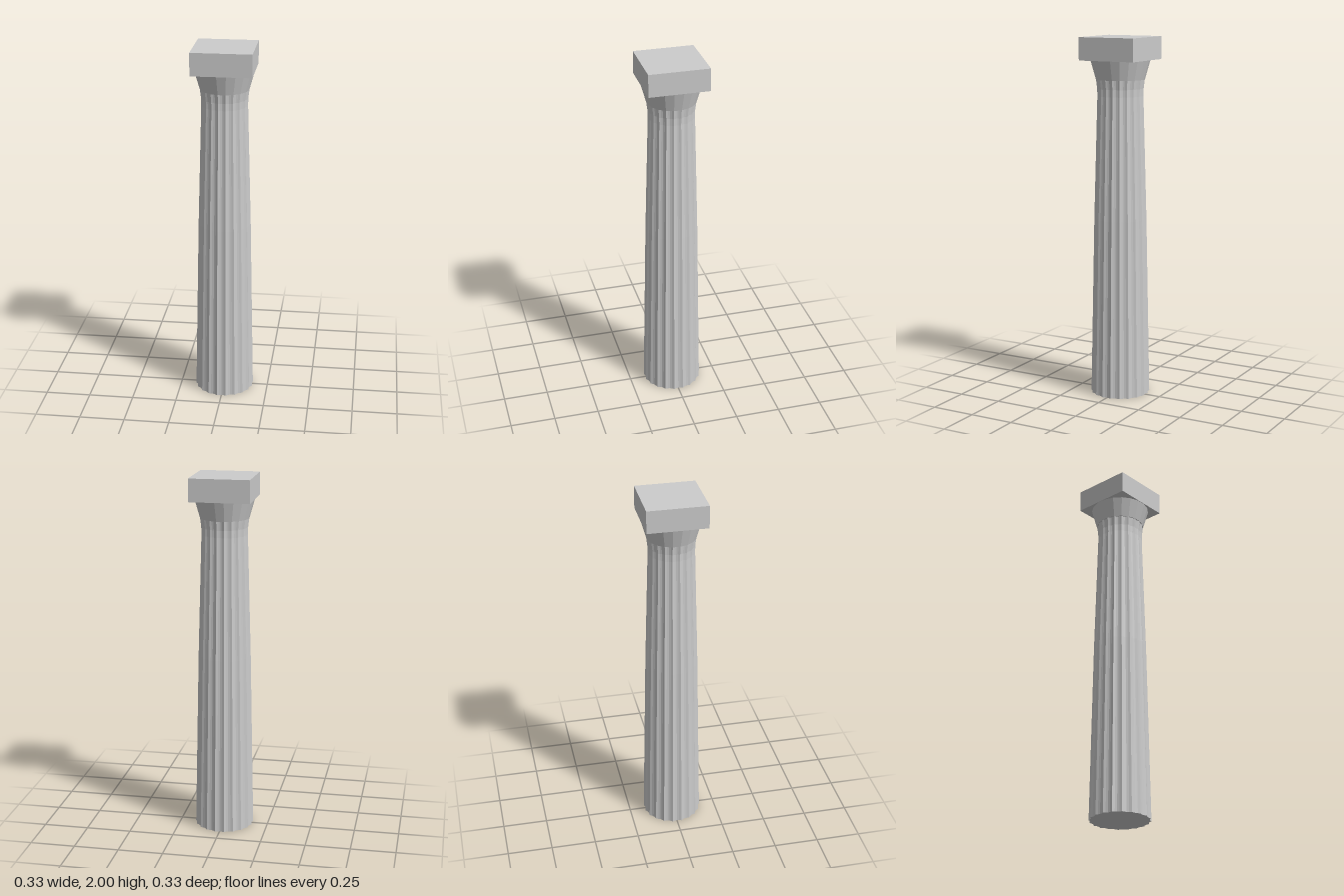
import * as THREE from 'three';

const FLUTES = 20;
const STEPS = 4; // facets across one flute

// Ring of points with a scooped hollow between neighbouring sharp ridges
function flutedRing(radius, y, depth) {
  const half = Math.PI / FLUTES;
  const ring = [];
  for (let i = 0; i < FLUTES * STEPS; i++) {
    const t = (i % STEPS) / STEPS;
    const a = (i / STEPS) * 2 * half + half;
    const r = radius * (1 - depth * Math.sin(Math.PI * t));
    ring.push([r * Math.sin(a), y, r * Math.cos(a)]);
  }
  return ring;
}

// Skin stacked rings and close both ends
function loft(rings) {
  const n = rings[0].length;
  const pos = rings.flat(2);
  const index = [];
  for (let k = 0; k < rings.length - 1; k++) {
    for (let i = 0; i < n; i++) {
      const j = (i + 1) % n;
      const a = k * n + i, b = k * n + j, c = a + n, d = b + n;
      index.push(a, b, d, a, d, c);
    }
  }
  const bottom = pos.length / 3, top = bottom + 1, last = (rings.length - 1) * n;
  pos.push(0, rings[0][0][1], 0, 0, rings[rings.length - 1][0][1], 0);
  for (let i = 0; i < n; i++) {
    const j = (i + 1) % n;
    index.push(bottom, j, i, top, last + i, last + j);
  }
  const geo = new THREE.BufferGeometry();
  geo.setAttribute('position', new THREE.Float32BufferAttribute(pos, 3));
  geo.setIndex(index);
  const flat = geo.toNonIndexed();
  flat.computeVertexNormals();
  return flat;
}

export function createModel() {
  const group = new THREE.Group();
  const material = new THREE.MeshStandardMaterial({ color: 0xcccccc, flatShading: true });

  function add(name, geometry, y = 0) {
    const mesh = new THREE.Mesh(geometry, material);
    mesh.name = name;
    mesh.position.y = y;
    group.add(mesh);
    return mesh;
  }

  // Tapering fluted shaft, flaring slightly at the neck: [radius, height]
  const profile = [[0.165, 0], [0.145, 1], [0.126, 1.68], [0.127, 1.72], [0.134, 1.775]];
  add('shaft', loft(profile.map(([r, y]) => flutedRing(r, y, 0.055))));

  // Flared round cushion under the slab
  const echinus = new THREE.CylinderGeometry(0.164, 0.134, 0.105, FLUTES);
  echinus.rotateY(Math.PI / FLUTES);
  add('echinus', echinus, 1.8225);

  // Square slab on top
  add('abacus', new THREE.BoxGeometry(0.33, 0.125, 0.33), 1.9375);

  return group;
}
